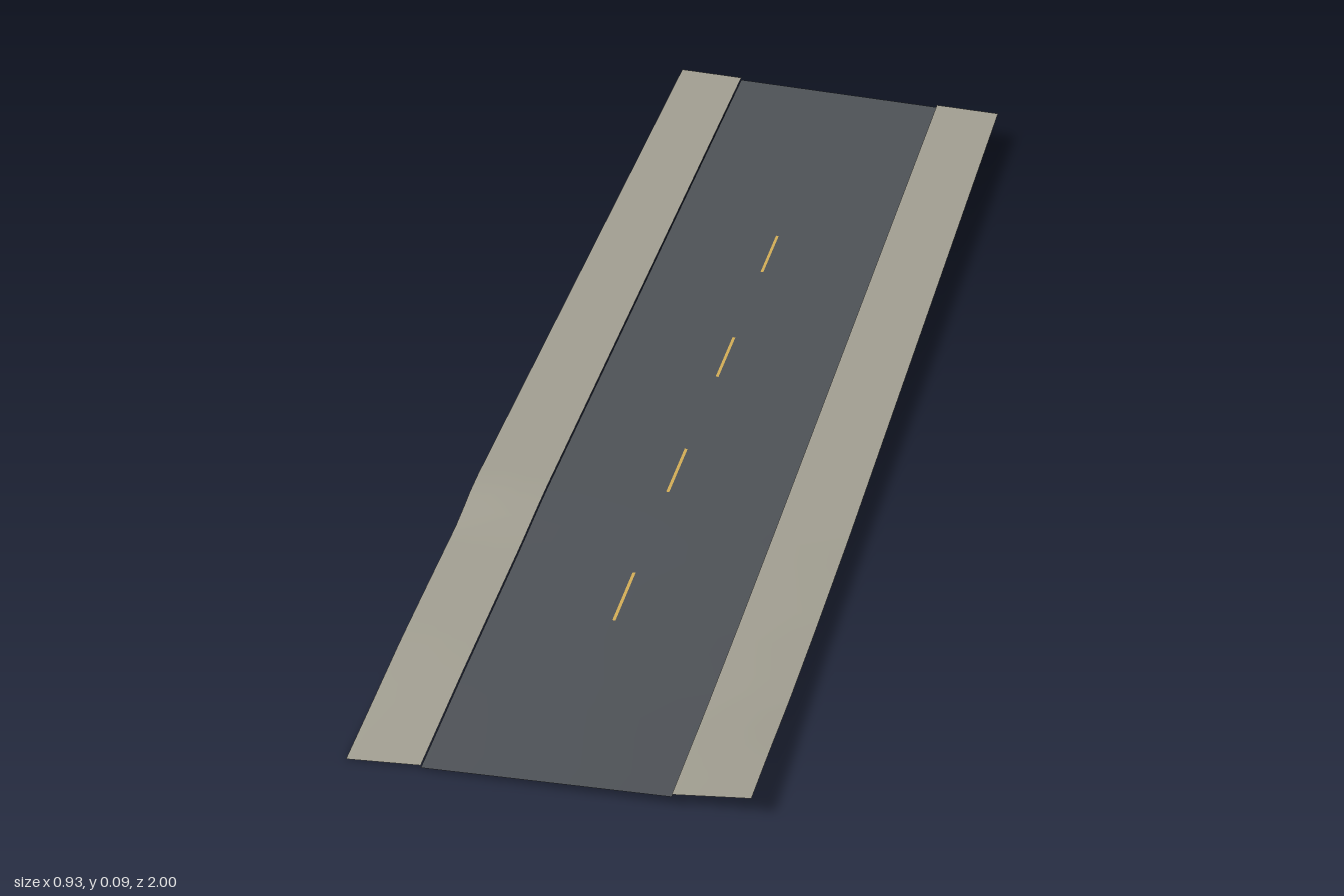
import * as THREE from 'three';

// Sidewalk-level height profiles [v, y] along four rails; v runs from back (0) to front (1)
const rails = [
  { u: 0, pts: [[0, 0.095], [0.67, 0.061], [0.695, 0.056], [0.72, 0.044], [0.8, 0.036], [0.87, 0.028], [0.95, 0.012], [1, 0.003]] },
  { u: 0.19, pts: [[0, 0.095], [0.67, 0.061], [0.70, 0.057], [0.74, 0.05], [0.83, 0.041], [0.9, 0.034], [1, 0.02]] },
  { u: 0.81, pts: [[0, 0.095], [0.67, 0.061], [0.8, 0.057], [0.9, 0.056], [1, 0.06]] },
  { u: 1, pts: [[0, 0.095], [0.67, 0.061], [0.79, 0.062], [0.88, 0.067], [0.95, 0.078], [1, 0.083]] },
];

function along(pts, v) {
  let i = 0;
  while (i < pts.length - 2 && v > pts[i + 1][0]) i++;
  const [a, ya] = pts[i], [b, yb] = pts[i + 1];
  return ya + (yb - ya) * (v - a) / (b - a);
}

// Ground height across the strip (u: 0 = -x edge, 1 = +x edge)
function height(u, v) {
  const i = u < 0.19 ? 0 : u < 0.81 ? 1 : 2;
  const a = rails[i], b = rails[i + 1];
  return THREE.MathUtils.lerp(along(a.pts, v), along(b.pts, v), (u - a.u) / (b.u - a.u));
}

// Skewed strip draped over the ground
function strip(name, material, u0, u1, v0, v1, lift, nu, nv) {
  const geo = new THREE.PlaneGeometry(1, 1, nu, nv);
  const p = geo.attributes.position;
  for (let i = 0; i < p.count; i++) {
    const u = u0 + (u1 - u0) * (p.getX(i) + 0.5);
    const v = v0 + (v1 - v0) * (0.5 - p.getY(i));
    p.setXYZ(i, -0.465 + 0.63 * u + 0.297 * v, height(u, v) + lift, -0.9 - 0.1 * u + 1.9 * v);
  }
  geo.computeVertexNormals();
  const mesh = new THREE.Mesh(geo, material);
  mesh.name = name;
  return mesh;
}

export function createModel() {
  const group = new THREE.Group();
  group.name = 'roadSegment';
  const mat = (color) => new THREE.MeshStandardMaterial({ color, side: THREE.DoubleSide });
  const asphalt = mat(0x4d5156), concrete = mat(0xa09d90), paint = mat(0xd0ab55);

  // Roadway, slightly below the sidewalks
  group.add(strip('roadway', asphalt, 0.19, 0.81, 0, 1, -0.005, 8, 48));

  // Sidewalks along both edges
  group.add(strip('rightSidewalk', concrete, 0, 0.19, 0, 1, 0, 3, 48));
  group.add(strip('leftSidewalk', concrete, 0.81, 1, 0, 1, 0, 3, 48));

  // Dashed centre line
  for (const v of [0.287, 0.451, 0.616, 0.781]) {
    group.add(strip('centreDash', paint, 0.496, 0.504, v - 0.03, v + 0.03, -0.004, 1, 6));
  }
  return group;
}
